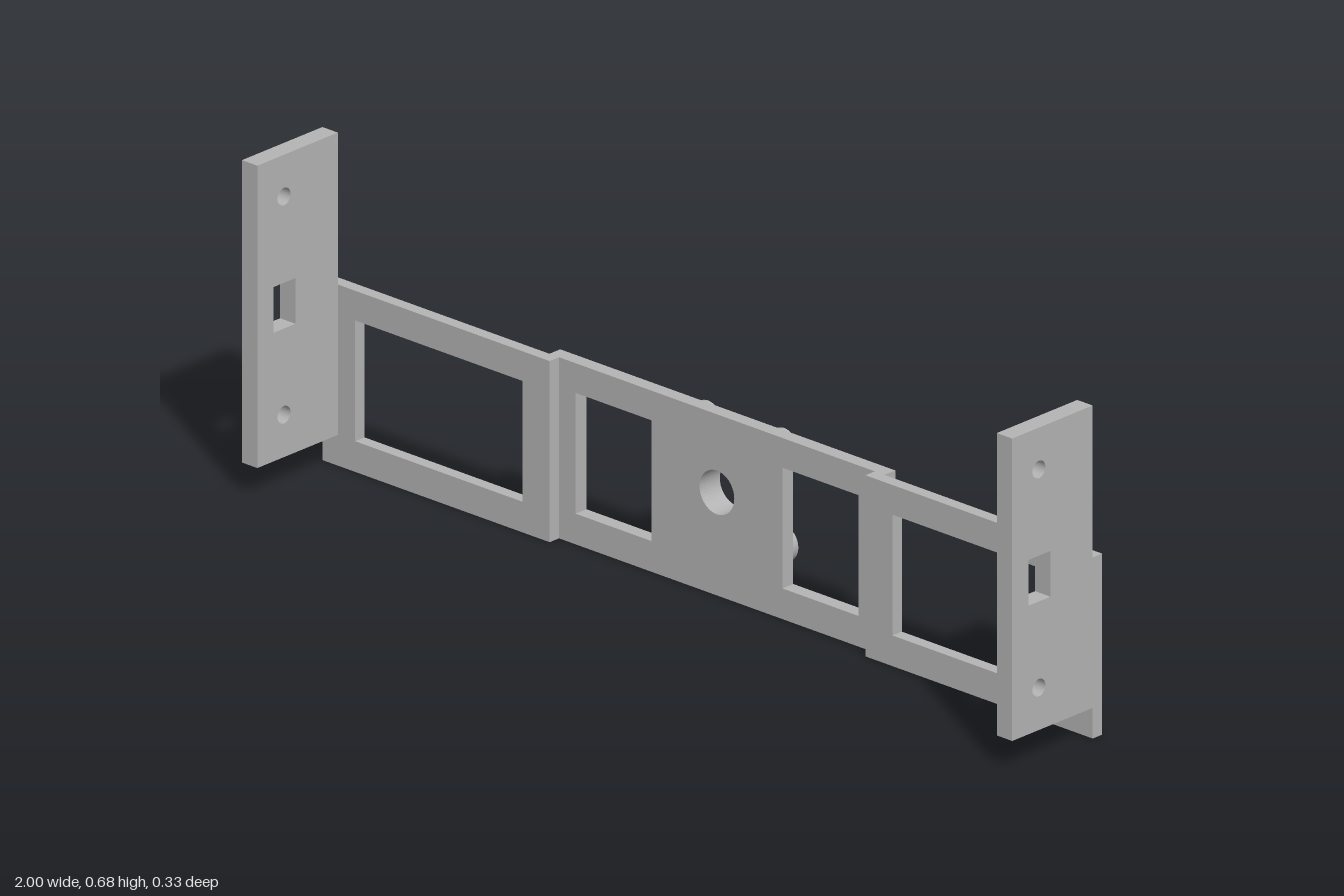
import * as THREE from 'three';

const metal = new THREE.MeshStandardMaterial({ color: 0xb4b4b4 });
metal.name = 'grey metal';

// Closed outlines used for plates and their cutouts
function rectPath(path, x0, y0, x1, y1) {
  path.moveTo(x0, y0);
  path.lineTo(x1, y0);
  path.lineTo(x1, y1);
  path.lineTo(x0, y1);
  path.closePath();
  return path;
}
const rectHole = (x0, y0, x1, y1) => rectPath(new THREE.Path(), x0, y0, x1, y1);
const roundHole = (x, y, r) => new THREE.Path().absarc(x, y, r, 0, Math.PI * 2, true);

function plate(outline, holes, depth) {
  outline.holes.push(...holes);
  return new THREE.ExtrudeGeometry(outline, { depth, bevelEnabled: false, curveSegments: 24 });
}

function addMesh(group, name, geometry, x = 0, y = 0, z = 0) {
  const mesh = new THREE.Mesh(geometry, metal);
  mesh.name = name;
  mesh.position.set(x, y, z);
  group.add(mesh);
  return mesh;
}

// Hollow collar projecting backwards from the centre plate
function collar(outer, inner, length) {
  const p = (r, h) => new THREE.Vector2(r, h);
  // repeated corner points keep the rims sharp
  const walls = [
    [p(outer, 0), p(outer, length)],
    [p(outer, length), p(inner, length)],
    [p(inner, length), p(inner, 0)],
  ];
  const group = new THREE.Group();
  const names = ['outerWall', 'rim', 'bore'];
  walls.forEach((w, i) => addMesh(group, names[i], new THREE.LatheGeometry(w, 40)));
  group.rotation.x = -Math.PI / 2;
  return group;
}

export function createModel() {
  const model = new THREE.Group();
  model.name = 'mountingBracket';
  const height = 0.372, winLow = 0.063, winHigh = 0.311;
  const frontZ = -0.058, stepZ = -0.084, backZ = -0.114, midY = 0.2115;

  // Centre plate with two windows and a shaft hole
  addMesh(model, 'centrePlate', plate(
    rectPath(new THREE.Shape(), -0.435, 0, 0.435, height),
    [
      rectHole(-0.367, winLow, -0.17, winHigh),
      rectHole(0.17, winLow, 0.367, winHigh),
      roundHole(0, midY, 0.045),
    ], stepZ - backZ), 0, 0, backZ);

  for (const side of [1, -1]) {
    const label = side > 0 ? 'left' : 'right';

    // Framed arm lapped over the front of the centre plate
    const [a, b] = side > 0 ? [0.41, 1] : [-1, -0.41];
    const [c, d] = side > 0 ? [0.48, 0.915] : [-0.915, -0.48];
    addMesh(model, label + 'Arm', plate(
      rectPath(new THREE.Shape(), a, 0, b, height),
      [rectHole(c, winLow, d, winHigh)], frontZ - stepZ), 0, 0, stepZ);

    // Upright end plate, drawn with shape x running along -z
    const upright = addMesh(model, label + 'EndPlate', plate(
      rectPath(new THREE.Shape(), -0.165, 0.063, -frontZ, 0.684),
      [
        roundHole(-0.091, 0.598, 0.018),
        roundHole(-0.091, 0.15, 0.018),
        rectHole(-0.12, 0.327, -0.059, 0.421),
      ], 0.04), side > 0 ? 0.96 : -1);
    upright.rotation.y = Math.PI / 2;
  }

  // Four screw bosses and the bearing ring on the back
  for (const x of [-0.099, 0.099]) {
    for (const y of [midY - 0.0995, midY + 0.0995]) {
      const boss = collar(0.0365, 0.023, 0.051);
      boss.name = 'screwBoss';
      boss.position.set(x, y, backZ);
      model.add(boss);
    }
  }
  const ring = collar(0.066, 0.045, 0.026);
  ring.name = 'bearingRing';
  ring.position.set(0, midY, backZ);
  model.add(ring);

  return model;
}
